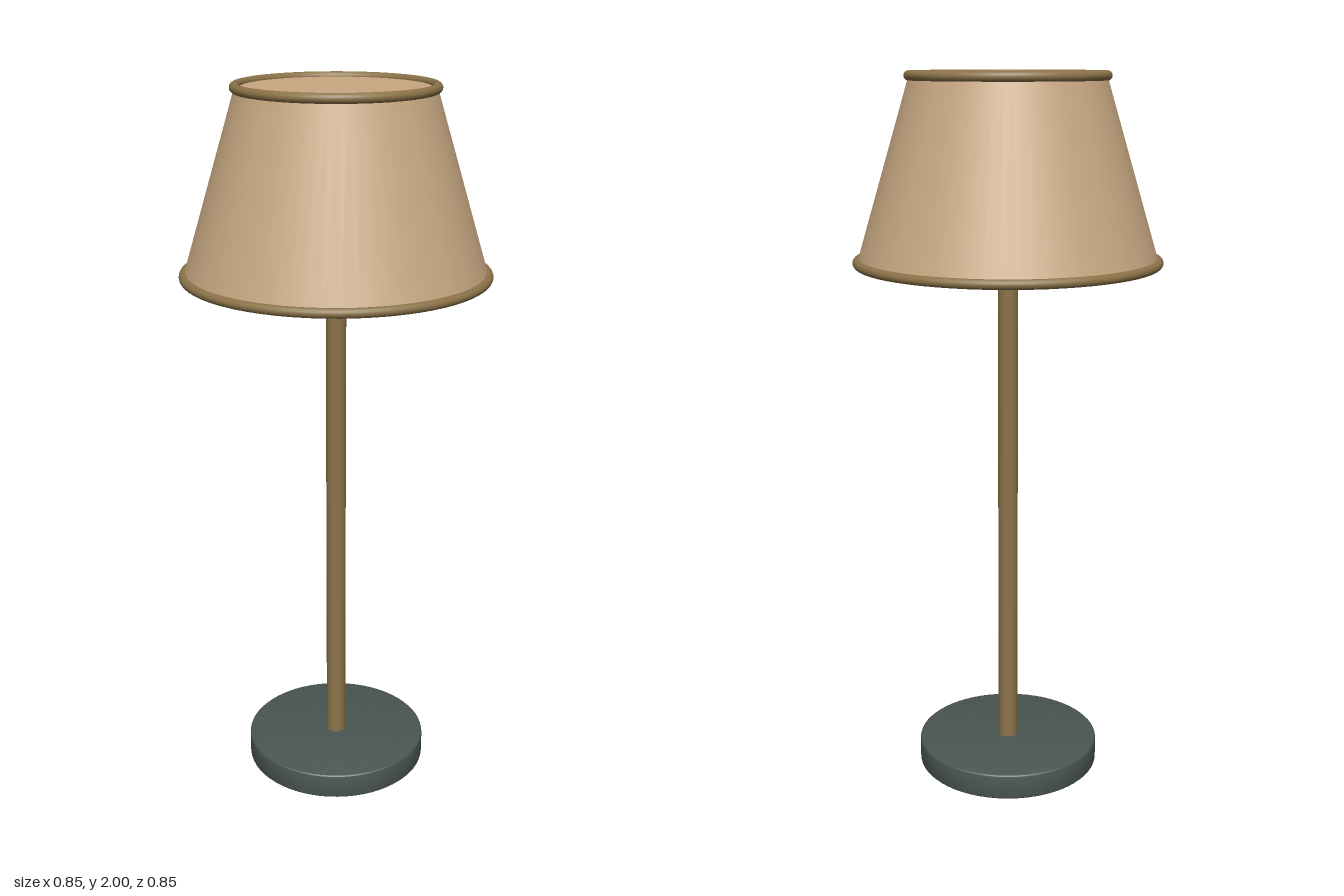
import * as THREE from 'three';
import { toCreasedNormals } from 'three/addons/utils/BufferGeometryUtils.js';

const SEGMENTS = 64;

function material(name, color) {
  const m = new THREE.MeshStandardMaterial({ color });
  m.name = name;
  return m;
}

export function createModel() {
  const lamp = new THREE.Group();
  lamp.name = 'tableLamp';

  const fabric = material('tan fabric', 0xc8a882);
  const brass = material('aged brass', 0x8b7349);
  const iron = material('dark slate', 0x4a5654);

  function add(name, geometry, mat, y) {
    const mesh = new THREE.Mesh(geometry, mat);
    mesh.name = name;
    mesh.position.y = y;
    lamp.add(mesh);
    return mesh;
  }

  // Round base with softly rounded edges
  const radius = 0.262, height = 0.075, bevel = 0.008;
  const profile = [new THREE.Vector2(0, 0)];
  for (const [cy, start] of [[bevel, -Math.PI / 2], [height - bevel, 0]]) {
    for (let i = 0; i <= 3; i++) {
      const a = start + (i / 3) * Math.PI / 2;
      profile.push(new THREE.Vector2(radius - bevel + bevel * Math.cos(a), cy + bevel * Math.sin(a)));
    }
  }
  profile.push(new THREE.Vector2(0, height));
  add('base', toCreasedNormals(new THREE.LatheGeometry(profile, SEGMENTS), 0.4), iron, 0);

  // Pole from the base into the shade
  add('pole', new THREE.CylinderGeometry(0.028, 0.028, 1.48, 32), brass, 0.80);

  // Tapered closed shade
  add('shade', new THREE.CylinderGeometry(0.262, 0.41, 0.49, SEGMENTS), fabric, 1.742);

  // Brass trim rings on the shade's two edges
  for (const [name, ringRadius, y] of [['topRim', 0.2625, 1.987], ['bottomRim', 0.41, 1.497]]) {
    const ring = new THREE.TorusGeometry(ringRadius, 0.013, 16, SEGMENTS);
    add(name, ring.rotateX(Math.PI / 2), brass, y);
  }

  return lamp;
}
